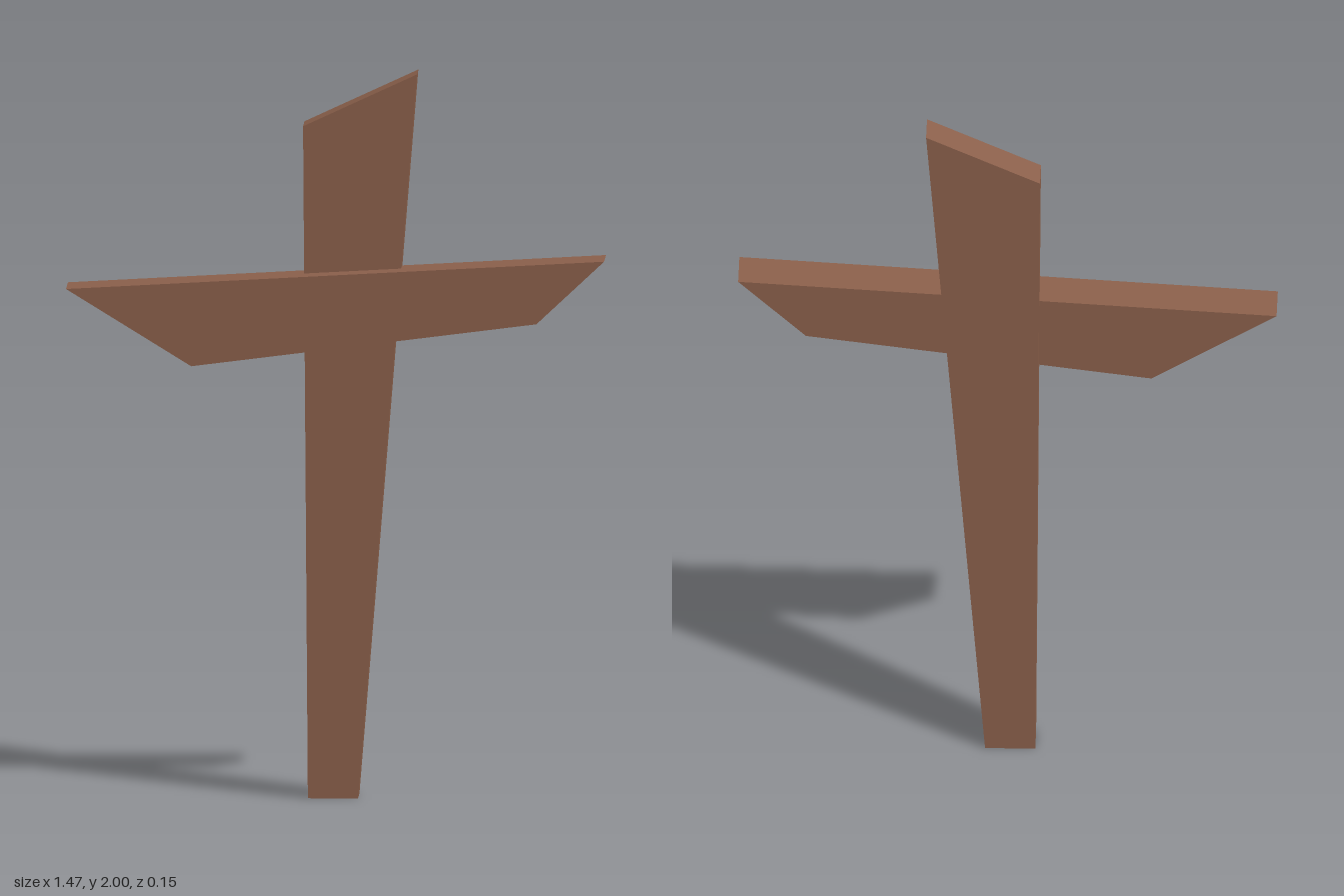
import * as THREE from 'three';

// Flat plank cut from a board: outline in x/y, thickness from z0 to z1
function plank(name, outline, z0, z1, material) {
  const shape = new THREE.Shape(outline.map(([x, y]) => new THREE.Vector2(x, y)));
  const geometry = new THREE.ExtrudeGeometry(shape, { depth: z1 - z0, bevelEnabled: false });
  geometry.translate(0, 0, z0);
  const mesh = new THREE.Mesh(geometry, material);
  mesh.name = name;
  return mesh;
}

export function createModel() {
  const group = new THREE.Group();
  group.name = 'woodenCross';

  const wood = new THREE.MeshStandardMaterial({ color: 0x8b604b });
  wood.name = 'brown wood';

  // Upright post, widening to a slanted top
  group.add(plank('post', [[-0.077, 0], [0.06, 0], [0.221, 2], [-0.09, 1.855]], -0.077, 0.014, wood));

  // Tilted crossbar with angled ends, set into the front of the post
  group.add(plank('crossbar', [[-0.393, 1.2], [0.55, 1.322], [0.735, 1.496], [-0.735, 1.411]], -0.045, 0.077, wood));

  return group;
}
